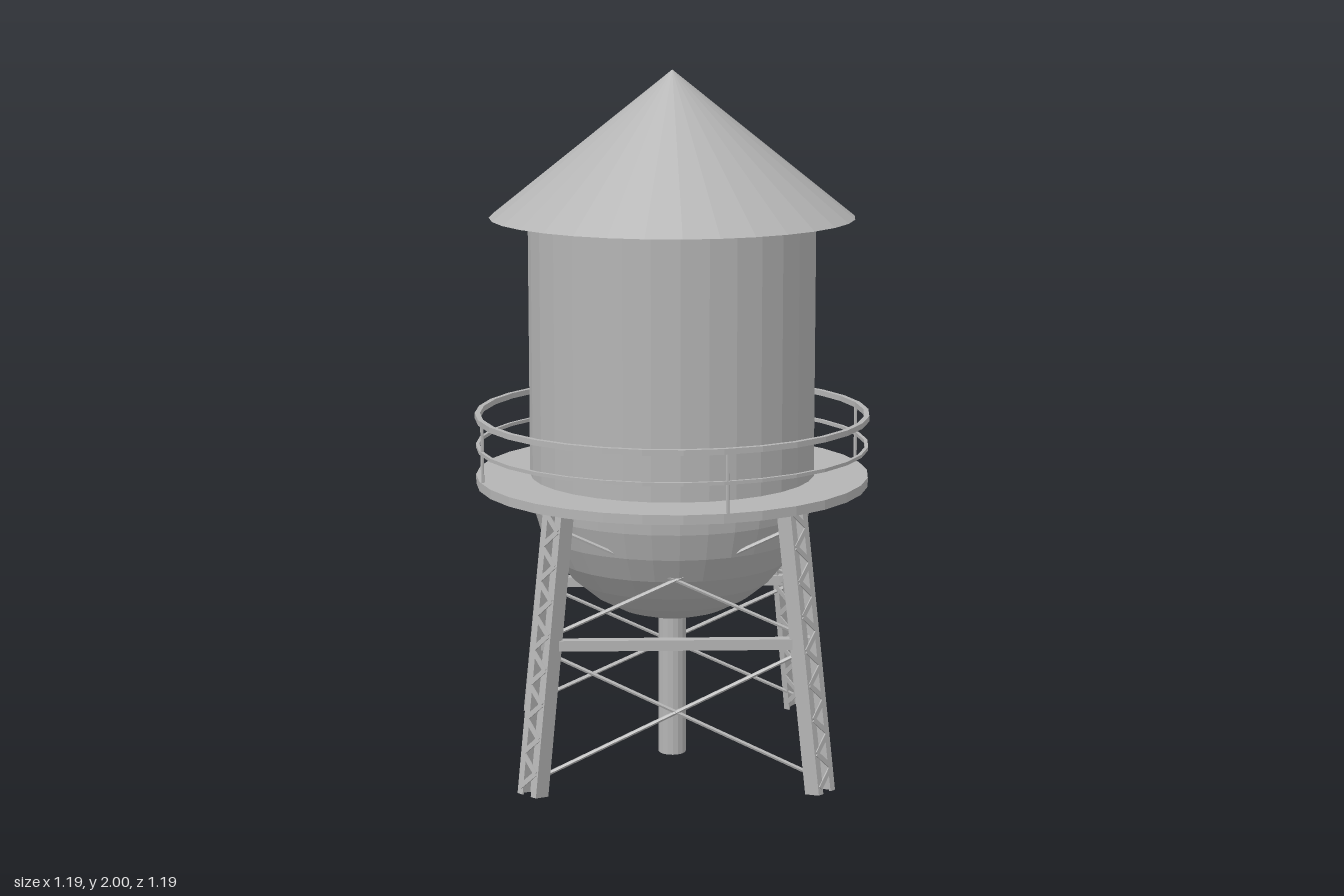
import * as THREE from 'three';

const SIDES = 32;
const steel = new THREE.MeshStandardMaterial({ color: 0xb4b4b4 });
steel.name = 'grey steel';

// Faceted normals on every face
function flat(geo) {
  const g = geo.index ? geo.toNonIndexed() : geo;
  g.computeVertexNormals();
  return g;
}

function add(parent, name, geo, x = 0, y = 0, z = 0) {
  const m = new THREE.Mesh(geo, steel);
  m.name = name;
  m.position.set(x, y, z);
  parent.add(m);
  return m;
}

// Closed ring of rectangular section
function ring(inner, outer, y0, y1) {
  const pts = [[inner, y0], [outer, y0], [outer, y1], [inner, y1], [inner, y0]];
  return flat(new THREE.LatheGeometry(pts.map(p => new THREE.Vector2(...p)), SIDES));
}

// Bar between two points: round when depth is omitted, otherwise rectangular
function bar(parent, name, a, b, size, depth) {
  const len = a.distanceTo(b);
  const geo = depth ? new THREE.BoxGeometry(len, size, depth)
    : new THREE.CylinderGeometry(size, size, len, 6).rotateZ(Math.PI / 2);
  const m = add(parent, name, flat(geo));
  m.position.copy(a).lerp(b, 0.5);
  m.quaternion.setFromUnitVectors(new THREE.Vector3(1, 0, 0), b.clone().sub(a).normalize());
  return m;
}

// Leg axis: radius shrinks with height, with a small sideways offset
const BASE_R = 0.57, TOP_R = 0.455, LEG_TOP = 0.82, OFFSET = 0.013;
function legPoint(i, y, out = 0) {
  const r = BASE_R + (TOP_R - BASE_R) * y / LEG_TOP + out;
  return new THREE.Vector3(r, y, OFFSET).applyAxisAngle(new THREE.Vector3(0, 1, 0), -i * Math.PI / 2);
}

// Two facing channels joined by zigzag lacing on the outer and inner faces
function makeLeg() {
  const leg = new THREE.Group();
  leg.name = 'leg';
  const len = 0.818, w = 0.072, d = 0.05;
  for (const s of [-1, 1]) {
    add(leg, 'channelWeb', flat(new THREE.BoxGeometry(d, len, 0.006)), 0, 0, s * (w / 2 - 0.003));
    for (const f of [-1, 1])
      add(leg, 'channelFlange', flat(new THREE.BoxGeometry(0.005, len, 0.02)), f * (d / 2 - 0.0025), 0, s * (w / 2 - 0.01));
  }
  const steps = 16, rise = (len - 0.04) / steps;
  for (const f of [-1, 1]) {
    for (let k = 0; k < steps; k++) {
      const s = k % 2 ? 1 : -1;
      const y = -len / 2 + 0.02 + rise * (k + 0.5);
      const lace = add(leg, 'lacingBar', flat(new THREE.BoxGeometry(0.004, 0.014, 0.074)), f * (d / 2 + 0.001), y, 0);
      lace.rotation.x = -s * f * Math.atan2(rise, 0.054);
    }
  }
  return leg;
}

export function createModel() {
  const model = new THREE.Group();
  model.name = 'waterTower';

  // Roof, tank wall and rounded tank bottom
  add(model, 'roof', flat(new THREE.ConeGeometry(0.52, 0.415, SIDES)), 0, 1.7925, 0);
  add(model, 'tankWall', flat(new THREE.CylinderGeometry(0.41, 0.41, 0.755, SIDES, 1, true)), 0, 1.2075, 0);
  add(model, 'tankBottom',
    flat(new THREE.SphereGeometry(0.41, SIDES, 8, 0, Math.PI * 2, Math.PI / 2, Math.PI / 2)), 0, 0.83, 0);
  add(model, 'drainPipe', flat(new THREE.CylinderGeometry(0.04, 0.04, 0.44, 16)), 0, 0.225, 0);

  // Walkway with two rails and four posts
  add(model, 'walkway', ring(0.4, 0.565, 0.818, 0.845));
  add(model, 'topRail', ring(0.552, 0.567, 1.008, 1.024));
  add(model, 'middleRail', ring(0.555, 0.565, 0.924, 0.934));
  for (let i = 0; i < 4; i++) {
    const a = Math.atan2(0.3, 0.47) + i * Math.PI / 2;
    add(model, 'railPost', flat(new THREE.CylinderGeometry(0.005, 0.005, 0.17, 6)),
      0.558 * Math.cos(a), 0.927, 0.558 * Math.sin(a));
  }

  // Four splayed legs
  for (let i = 0; i < 4; i++) {
    const holder = new THREE.Group();
    holder.name = 'legHolder';
    holder.rotation.y = -i * Math.PI / 2;
    const leg = makeLeg();
    leg.position.set((BASE_R + TOP_R) / 2, 0.414, OFFSET);
    leg.rotation.z = Math.atan2(BASE_R - TOP_R, LEG_TOP);
    holder.add(leg);
    model.add(holder);
  }

  // Struts and crossed tie rods between neighbouring legs
  for (let i = 0; i < 4; i++) {
    const j = i + 1;
    bar(model, 'strut', legPoint(i, 0.43), legPoint(j, 0.43), 0.03, 0.03);
    for (const [lo, hi] of [[0.05, 0.41], [0.45, 0.755]]) {
      bar(model, 'tieRod', legPoint(i, lo), legPoint(j, hi), 0.006);
      bar(model, 'tieRod', legPoint(i, hi), legPoint(j, lo), 0.006);
    }
  }
  return model;
}
